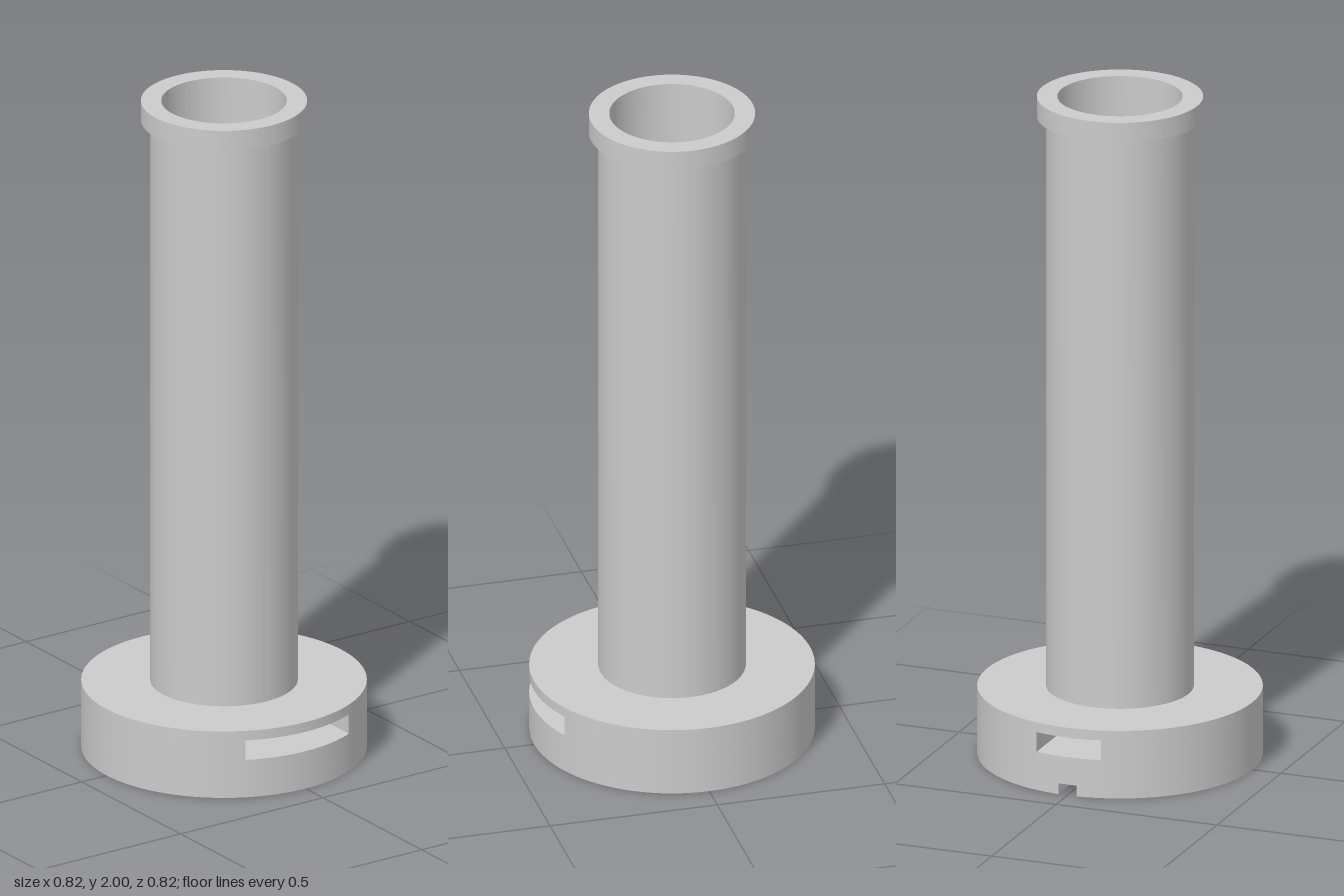
import * as THREE from 'three';
import { toCreasedNormals } from 'three/addons/utils/BufferGeometryUtils.js';

const BASE_R = 0.412, TUBE_R = 0.213, COLLAR_R = 0.24, BORE_R = 0.181;
const FRONT_HALF = BORE_R, BACK_HALF = 0.1, KEY_HALF = 0.028;

const material = new THREE.MeshStandardMaterial({ color: 0xcccccc });

// Extrudes a plan outline (shape y points to the back) between two heights.
function layer(name, shape, y0, y1) {
  const extruded = new THREE.ExtrudeGeometry(shape, { depth: y1 - y0, bevelEnabled: false, curveSegments: 96 });
  extruded.rotateX(-Math.PI / 2);
  extruded.translate(0, y0, 0);
  const mesh = new THREE.Mesh(toCreasedNormals(extruded, Math.PI / 6), material);
  mesh.name = name;
  return mesh;
}

function disc(radius, hole = 0) {
  const shape = new THREE.Shape().absarc(0, 0, radius, 0, Math.PI * 2, false);
  if (hole) shape.holes.push(new THREE.Path().absarc(0, 0, hole, 0, Math.PI * 2, true));
  return shape;
}

// Disc with a narrow groove running in from the back edge.
function groovedDisc() {
  const a = Math.asin(KEY_HALF / BASE_R);
  const shape = new THREE.Shape();
  shape.absarc(0, 0, BASE_R, Math.PI / 2 + a, Math.PI * 2.5 - a, false);
  shape.lineTo(KEY_HALF, 0.225);
  shape.lineTo(-KEY_HALF, 0.225);
  shape.closePath();
  return shape;
}

// One side wall between the wide front slot and the narrow back slot.
function sideWall(side) {
  const angle = (a) => (side > 0 ? a : Math.PI - a);
  const front = -Math.acos(FRONT_HALF / BASE_R);
  const back = Math.acos(BACK_HALF / BASE_R);
  const inner = Math.acos(BACK_HALF / BORE_R);
  const shape = new THREE.Shape();
  shape.absarc(0, 0, BASE_R, angle(front), angle(back), side < 0);
  shape.absarc(0, 0, BORE_R, angle(inner), angle(0), side > 0);
  shape.closePath();
  return shape;
}

export function createModel() {
  const model = new THREE.Group();
  model.name = 'tubeDispenser';

  // Round base: grooved underside, bore floor, slotted level and lid
  const base = new THREE.Group();
  base.name = 'base';
  base.add(
    layer('groovedUnderside', groovedDisc(), 0, 0.033),
    layer('boreFloor', disc(BASE_R), 0.033, 0.116),
    layer('leftSlotWall', sideWall(1), 0.116, 0.176),
    layer('rightSlotWall', sideWall(-1), 0.116, 0.176),
    layer('baseTop', disc(BASE_R, BORE_R), 0.176, 0.206)
  );

  // Tall open tube with a collar at its mouth
  model.add(
    base,
    layer('tube', disc(TUBE_R, BORE_R), 0.206, 1.94),
    layer('collar', disc(COLLAR_R, BORE_R), 1.94, 2)
  );
  return model;
}
